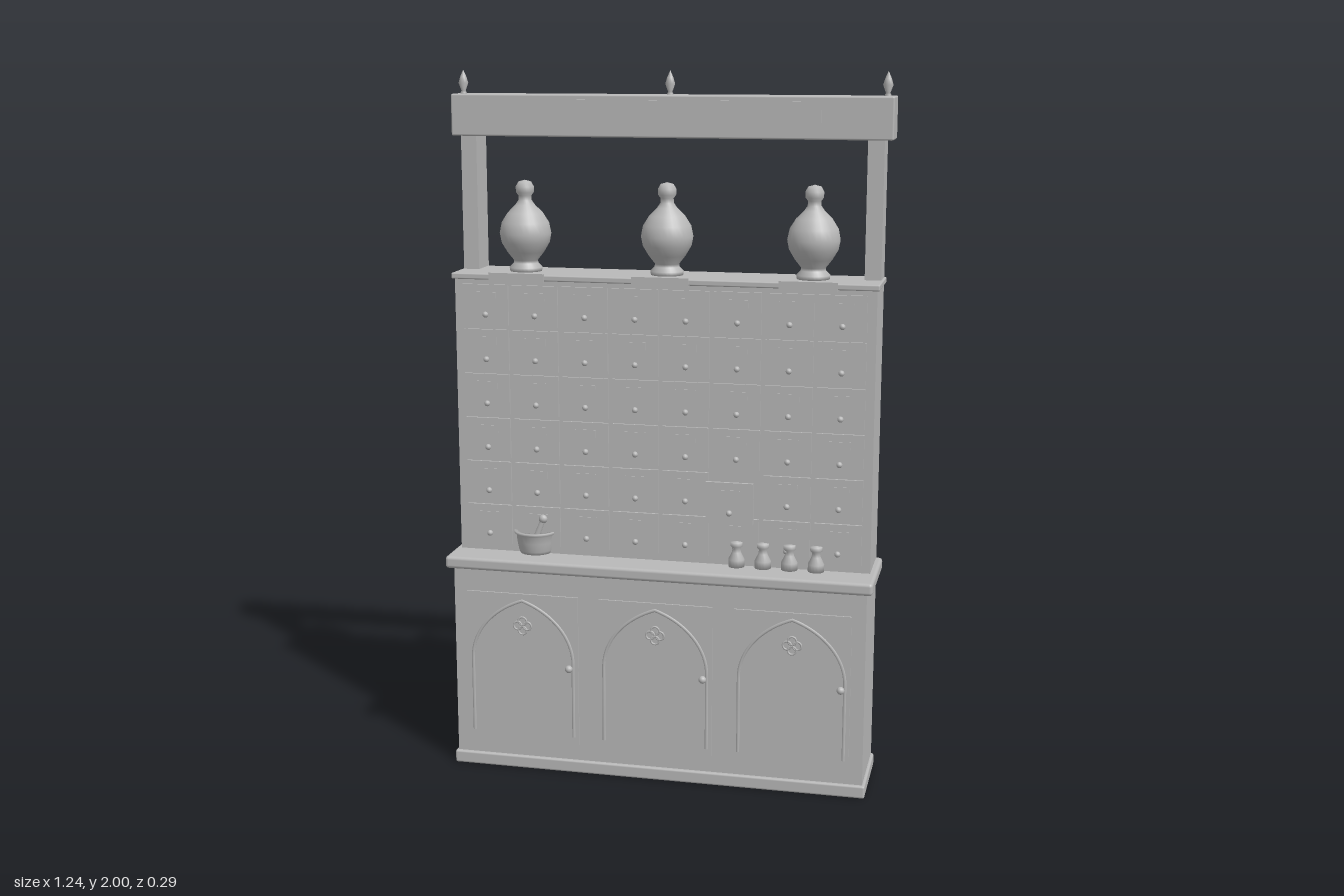
import * as THREE from 'three';
import { RoundedBoxGeometry } from 'three/addons/geometries/RoundedBoxGeometry.js';

export function createModel() {
  const root = new THREE.Group();
  root.name = 'apothecaryCabinet';
  const grey = new THREE.MeshStandardMaterial({ color: 0xb8b8b8 });
  grey.name = 'plainGrey';
  const BACK = -0.146;

  const add = (name, geometry, x = 0, y = 0, z = 0, parent = root) => {
    const mesh = new THREE.Mesh(geometry, grey);
    mesh.name = name;
    mesh.position.set(x, y, z);
    parent.add(mesh);
    return mesh;
  };
  // Box given by its limits; an edge radius rounds it
  const slab = (name, x0, x1, y0, y1, z0, z1, radius = 0) => {
    const size = [x1 - x0, y1 - y0, z1 - z0];
    const geo = radius ? new RoundedBoxGeometry(...size, 2, radius) : new THREE.BoxGeometry(...size);
    return add(name, geo, (x0 + x1) / 2, (y0 + y1) / 2, (z0 + z1) / 2);
  };
  const lathe = (points, sides = 20) =>
    new THREE.LatheGeometry(points.map(([r, y]) => new THREE.Vector2(r, y)), sides);

  // Carcass
  slab('plinth', -0.603, 0.603, 0, 0.037, BACK, 0.105, 0.006);
  slab('lowerCabinet', -0.595, 0.595, 0.03, 0.605, BACK, 0.095);
  slab('counter', -0.613, 0.613, 0.6, 0.636, BACK, 0.123, 0.01);
  slab('drawerCabinet', -0.595, 0.595, 0.63, 1.428, BACK, 0.025);
  slab('topShelf', -0.602, 0.602, 1.425, 1.442, BACK, 0.037, 0.004);
  for (const s of [-1, 1]) {
    add('post', new THREE.BoxGeometry(0.045, 0.4, 0.088), s * 0.573, 1.632, -0.102);
  }
  slab('cornice', -0.62, 0.62, 1.818, 1.934, BACK, -0.047, 0.005);
  slab('signPanel', -0.425, 0.425, 1.834, 1.92, -0.05, -0.042);

  // Finials
  const finial = lathe([[0, 0], [0.009, 0], [0.009, 0.006], [0.006, 0.012], [0.014, 0.033], [0.009, 0.05], [0, 0.07]], 12);
  for (const x of [-0.597, 0, 0.597]) add('finial', finial, x, 1.93, -0.095);

  // Doors with pointed arch moulding, quatrefoil and knob
  const arch = new THREE.CurvePath();
  const v = (x, y) => new THREE.Vector3(x, y, 0);
  arch.add(new THREE.LineCurve3(v(-0.15, -0.2), v(-0.15, 0.03)));
  arch.add(new THREE.CubicBezierCurve3(v(-0.15, 0.03), v(-0.145, 0.12), v(-0.07, 0.18), v(0, 0.203)));
  arch.add(new THREE.CubicBezierCurve3(v(0, 0.203), v(0.07, 0.18), v(0.145, 0.12), v(0.15, 0.03)));
  arch.add(new THREE.LineCurve3(v(0.15, 0.03), v(0.15, -0.2)));
  const archGeo = new THREE.TubeGeometry(arch, 64, 0.005, 6);
  const lobe = new THREE.TorusGeometry(0.012, 0.003, 6, 14);
  const doorKnob = new THREE.SphereGeometry(0.011, 14, 10);
  for (const x of [-0.391, 0, 0.391]) {
    const door = new THREE.Group();
    door.name = 'door';
    door.position.set(x, 0.308, 0.097);
    root.add(door);
    add('doorPanel', new THREE.BoxGeometry(0.33, 0.446, 0.006), 0, 0, 0, door);
    add('archMoulding', archGeo, 0, 0, 0.003, door);
    for (let i = 0; i < 4; i++) {
      const a = i * Math.PI / 2;
      add('quatrefoilLobe', lobe, 0.014 * Math.cos(a), 0.128 + 0.014 * Math.sin(a), 0.003, door);
    }
    add('doorKnob', doorKnob, 0.139, 0.01, 0.011, door);
  }

  // Drawer grid, with one front pulled out
  const front = new THREE.BoxGeometry(0.132, 0.116, 0.009);
  const label = new THREE.BoxGeometry(0.06, 0.022, 0.003);
  const knob = new THREE.SphereGeometry(0.0085, 10, 8);
  for (let row = 0; row < 6; row++) {
    for (let col = 0; col < 8; col++) {
      const open = row === 4 && col === 5;
      const drawer = new THREE.Group();
      drawer.name = open ? 'openDrawer' : 'drawer';
      drawer.position.set((col - 3.5) * 0.144, 1.353 - row * 0.1275, open ? 0.128 : 0.0275);
      root.add(drawer);
      add('drawerFront', front, 0, 0, 0, drawer);
      add('drawerLabel', label, 0, 0.026, 0.005, drawer);
      add('drawerKnob', knob, 0, -0.027, 0.007, drawer);
    }
  }

  // Herb sprigs behind the pulled-out front
  for (const [x, tilt] of [[0.19, 1.2], [0.22, 1.7], [0.25, 1.4]]) {
    add('herbSprig', new THREE.CylinderGeometry(0.004, 0.003, 0.035, 6), x, 0.833, 0.036).rotation.z = tilt;
  }

  // Display jars and their tags on the shelf edge
  const jar = lathe([
    [0, 0], [0.045, 0], [0.047, 0.012], [0.035, 0.024], [0.034, 0.032], [0.052, 0.055], [0.068, 0.082],
    [0.073, 0.108], [0.067, 0.138], [0.05, 0.165], [0.028, 0.187], [0.019, 0.2], [0.018, 0.213],
    [0.025, 0.222], [0.026, 0.238], [0.018, 0.252], [0, 0.257],
  ], 28);
  for (const x of [-0.41, 0, 0.41]) {
    add('jar', jar, x, 1.441, -0.057);
    add('jarTag', new THREE.BoxGeometry(0.16, 0.026, 0.006), x, 1.433, 0.04);
  }

  // Mortar and pestle
  add('mortar', lathe([
    [0, 0], [0.046, 0], [0.05, 0.01], [0.055, 0.035], [0.057, 0.055], [0.063, 0.06], [0.063, 0.067],
    [0.053, 0.067], [0.045, 0.03], [0, 0.02],
  ], 24), -0.372, 0.635, 0.012);
  const pestle = new THREE.Group();
  pestle.name = 'pestle';
  pestle.position.set(-0.372, 0.665, 0.033);
  pestle.rotation.z = -0.36;
  root.add(pestle);
  add('pestleHandle', new THREE.CylinderGeometry(0.007, 0.01, 0.08, 10), 0, 0.04, 0, pestle);
  add('pestleKnob', new THREE.SphereGeometry(0.013, 12, 8), 0, 0.08, 0, pestle);

  // Small bottles
  const bottle = lathe([
    [0, 0], [0.023, 0], [0.023, 0.022], [0.013, 0.042], [0.011, 0.054], [0.017, 0.06], [0.017, 0.072], [0, 0.074],
  ], 16);
  for (let i = 0; i < 4; i++) add('bottle', bottle, 0.22 + i * 0.075, 0.635, 0.033);

  return root;
}
